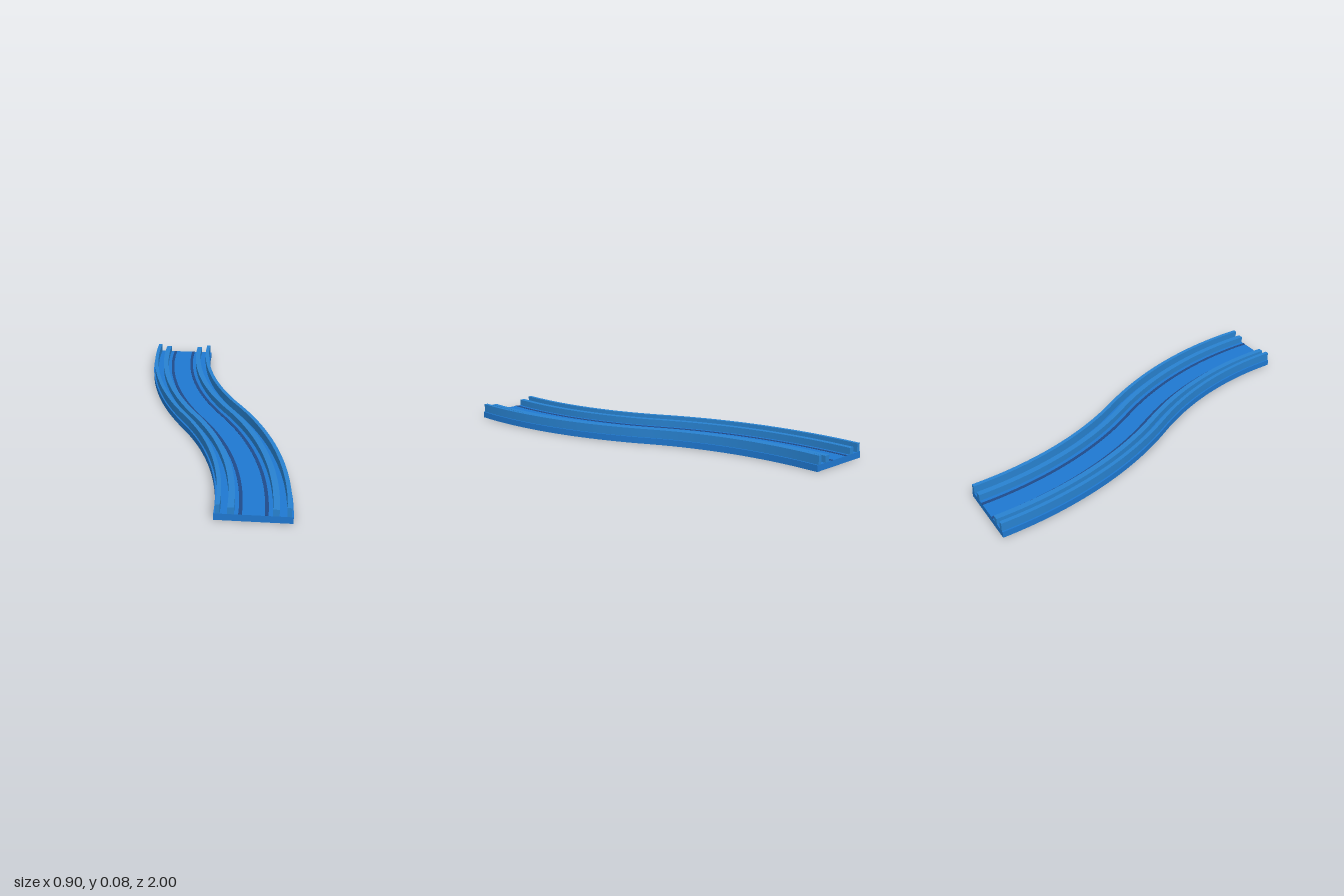
import * as THREE from 'three';
import { toCreasedNormals } from 'three/addons/utils/BufferGeometryUtils.js';

const SHIFT = 0.277;                    // sideways offset of each track end
const ANGLE = 2 * Math.atan(SHIFT);     // turn of each of the two arcs
const RADIUS = 1 / Math.sin(ANGLE);
const STEPS = 28;                       // segments per arc

// Point on the S-shaped path; t runs -1 (back) to 1 (front), d is the offset towards +x
function pathPoint(t, d) {
  const s = t < 0 ? -1 : 1;
  const a = (1 - Math.abs(t)) * ANGLE;
  const r = RADIUS + s * d;
  const x = s * (SHIFT - RADIUS + r * Math.cos(a));
  const z = s * (1 - r * Math.sin(a));
  return new THREE.Vector2(x, -z);
}

// Strip of track between two sideways offsets and two heights
function strip(d0, d1, y0, y1) {
  const left = [], right = [];
  for (let i = -STEPS; i <= STEPS; i++) {
    left.push(pathPoint(i / STEPS, d0));
    right.push(pathPoint(i / STEPS, d1));
  }
  const shape = new THREE.Shape([...left, ...right.reverse()]);
  const geometry = new THREE.ExtrudeGeometry(shape, { depth: y1 - y0, bevelEnabled: false });
  geometry.rotateX(-Math.PI / 2).translate(0, y0, 0);
  return toCreasedNormals(geometry, 0.5);
}

export function createModel() {
  const group = new THREE.Group();
  group.name = 'curvedTrack';
  const material = (name, color) => {
    const m = new THREE.MeshStandardMaterial({ color });
    m.name = name;
    return m;
  };
  const deckBlue = material('deckBlue', 0x1f78d0);
  const railBlue = material('railBlue', 0x2882d0);
  const darkBlue = material('darkBlue', 0x1f4a8a);

  const add = (name, mat, ...size) => {
    const mesh = new THREE.Mesh(strip(...size), mat);
    mesh.name = name;
    group.add(mesh);
  };

  // Flat roadbed
  add('deck', deckBlue, -0.175, 0.175, 0, 0.033);

  // Matching walls, rails and painted lines on both sides
  for (const [side, s] of [['left', 1], ['right', -1]]) {
    const pair = (name, mat, inner, outer, y0, y1) =>
      add(side + name, mat, Math.min(s * inner, s * outer), Math.max(s * inner, s * outer), y0, y1);
    pair('OuterWall', railBlue, 0.147, 0.167, 0.033, 0.078);
    pair('InnerRail', railBlue, 0.085, 0.114, 0.033, 0.067);
    pair('LaneStripe', darkBlue, 0.05, 0.066, 0.033, 0.0345);
  }
  return group;
}
